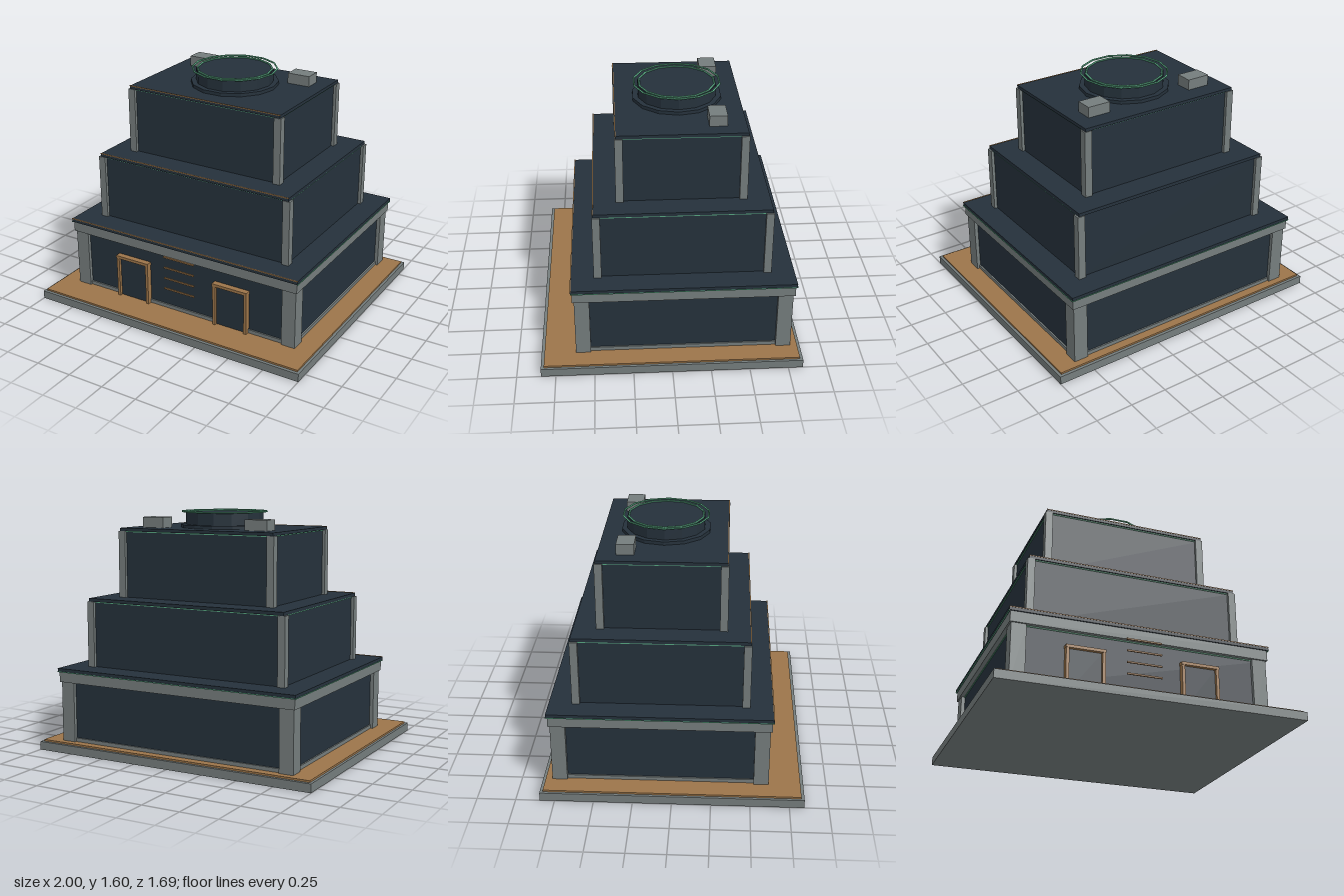
import * as THREE from 'three';

const mat = (name, color) => {
  const m = new THREE.MeshStandardMaterial({ color });
  m.name = name;
  return m;
};

export function createModel() {
  const stone = mat('grey stone', 0x757d7d);
  const dark = mat('dark slate', 0x25313b);
  const bronze = mat('bronze', 0x9c754a);
  const green = mat('green trim', 0x58a882);

  const model = new THREE.Group();
  model.name = 'steppedBuilding';
  const tower = new THREE.Group();
  tower.name = 'tower';
  tower.position.z = -0.08; // set back on the plinth
  model.add(tower);

  const add = (parent, name, geometry, material, x, y, z) => {
    const mesh = new THREE.Mesh(geometry, material);
    mesh.name = name;
    mesh.position.set(x, y, z);
    parent.add(mesh);
    return mesh;
  };
  // Box given by half extents and its bottom and top
  const slab = (parent, name, material, hx, hz, y0, y1, x = 0, z = 0) =>
    add(parent, name, new THREE.BoxGeometry(hx * 2, y1 - y0, hz * 2), material, x, (y0 + y1) / 2, z);
  // Thin strips on four sides
  const trim = (name, hx, hz, y0, y1, depth, front = true) => {
    for (const s of [-1, 1]) {
      slab(tower, name, green, depth / 2, hz, y0, y1, s * hx, 0);
      if (s < 0 || front) slab(tower, name, green, hx, depth / 2, y0, y1, 0, s * hz);
    }
  };

  // Ground platform
  slab(model, 'basePlatform', stone, 1, 0.845, 0, 0.056);
  slab(model, 'plazaDeck', bronze, 0.983, 0.825, 0.056, 0.068);

  // Tiers: wall, corner columns, roof slab, trim
  const tiers = [
    { y0: 0.068, y1: 0.47, cx: 0.855, cz: 0.7, cw: 0.097, wx: 0.83, wz: 0.677, rx: 0.873, rz: 0.72, r0: 0.54, r1: 0.563 },
    { y0: 0.563, y1: 1.003, cx: 0.73, cz: 0.57, cw: 0.05, wx: 0.71, wz: 0.55, rx: 0.718, rz: 0.565, r0: 1.003, r1: 1.025 },
    { y0: 1.025, y1: 1.467, cx: 0.575, cz: 0.417, cw: 0.05, wx: 0.555, wz: 0.397, rx: 0.566, rz: 0.412, r0: 1.467, r1: 1.488 },
  ];
  tiers.forEach((t, i) => {
    slab(tower, 'tierWall', dark, t.wx, t.wz, t.y0, t.y1);
    for (const sx of [-1, 1]) for (const sz of [-1, 1]) {
      const h = t.cw / 2;
      slab(tower, 'cornerColumn', stone, h, h, t.y0, t.y1, sx * (t.cx - h), sz * (t.cz - h));
    }
    slab(tower, 'roofSlab', dark, t.rx, t.rz, t.r0, t.r1);
    trim('wallTrim', t.wx + 0.002, t.wz + 0.002, t.y1 - 0.006, t.y1, 0.008);
    if (i === 0) trim('roofTrim', t.rx, t.rz, t.r0 - 0.003, t.r0 + 0.002, 0.006, false);
    slab(tower, 'frontRoofEdge', bronze, t.rx, 0.003, t.r1 - 0.003, t.r1 + 0.003, 0, t.rz - 0.001);
  });

  // Ground floor plinth and cornice
  slab(tower, 'wallPlinth', stone, 0.84, 0.687, 0.068, 0.093);
  slab(tower, 'cornice', stone, 0.865, 0.711, 0.47, 0.54);

  // Entrances
  for (const s of [-1, 1]) {
    const door = new THREE.Group();
    door.name = 'entrance';
    door.position.set(s * 0.382, 0, 0.69);
    tower.add(door);
    slab(door, 'doorPanel', dark, 0.11, 0.004, 0.068, 0.355);
    for (const e of [-1, 1]) slab(door, 'doorJamb', bronze, 0.01, 0.022, 0.068, 0.353, e * 0.117, 0.002);
    slab(door, 'doorLintel', bronze, 0.129, 0.025, 0.353, 0.373, 0, 0.002);
  }

  // Floating bars between the entrances
  for (const y of [0.235, 0.312, 0.39, 0.468])
    slab(tower, 'frontBar', bronze, 0.117, 0.005, y - 0.005, y + 0.005, 0, 0.719);

  // Rooftop drum and rings
  const drum = (name, r, y0, y1) => {
    const g = new THREE.CylinderGeometry(r, r, y1 - y0, 14, 1, false, Math.PI / 2).toNonIndexed();
    g.computeVertexNormals();
    add(tower, name, g, dark, 0, (y0 + y1) / 2, 0);
  };
  drum('drumBase', 0.295, 1.488, 1.51);
  drum('drum', 0.26, 1.51, 1.588);
  for (const [r, y] of [[0.284, 1.595], [0.25, 1.592]])
    add(tower, 'roofRing', new THREE.TorusGeometry(r, 0.006, 6, 14), green, 0, y, 0).rotation.x = Math.PI / 2;

  // Rooftop units
  for (const s of [-1, 1])
    slab(tower, 'roofUnit', stone, 0.079, 0.057, 1.488, 1.558, s * 0.385, -0.233);

  return model;
}
